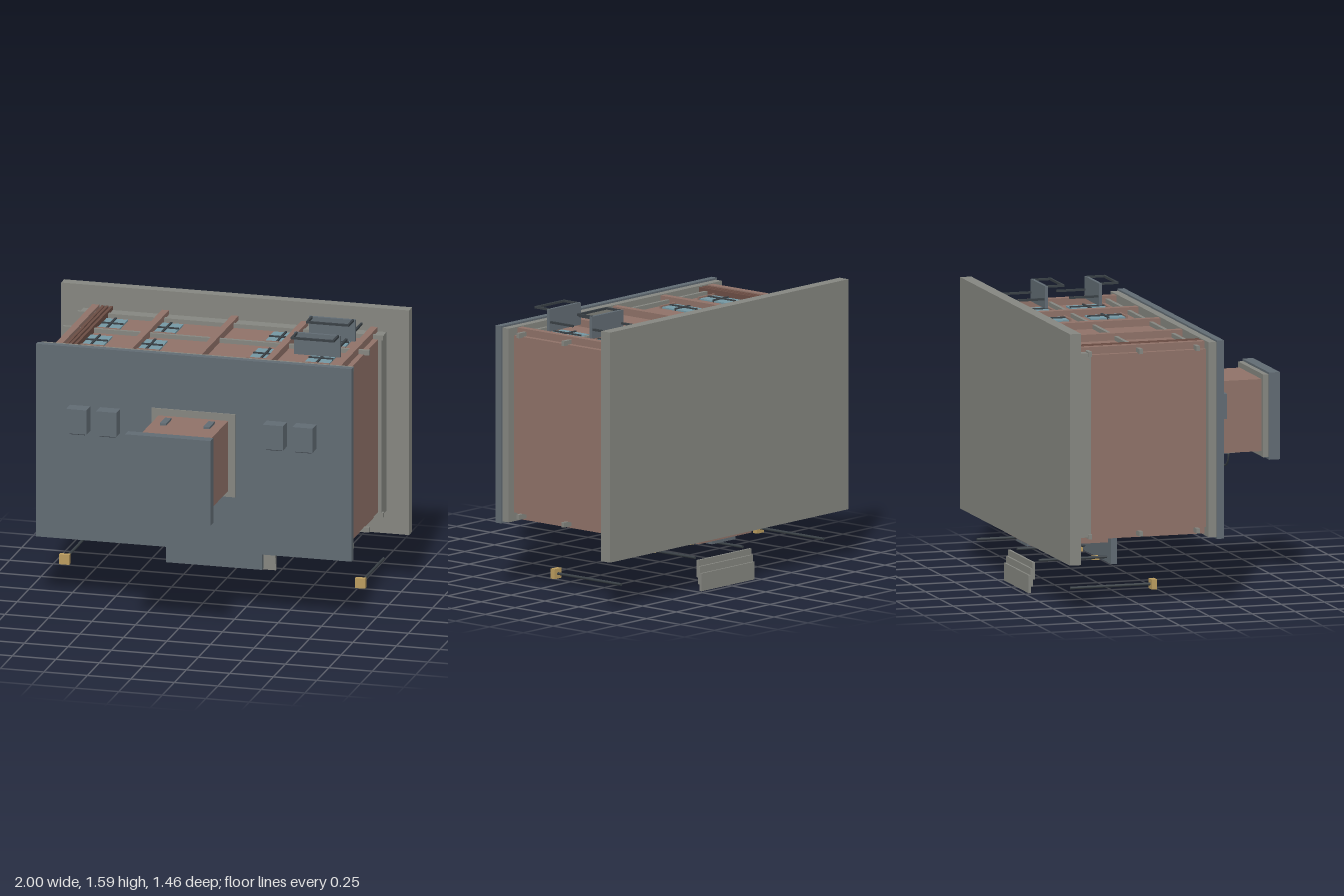
import * as THREE from 'three';

const mat = (name, color) => {
  const m = new THREE.MeshStandardMaterial({ color });
  m.name = name;
  return m;
};

export function createModel() {
  const brick = mat('brick', 0x8f7268);
  const stone = mat('stone', 0x858680);
  const slate = mat('slate', 0x616b73);
  const glass = mat('glass', 0x7497a3);
  const iron = mat('iron', 0x394045);
  const brass = mat('brass', 0xba9c5e);
  const pipeBrown = mat('pipe brown', 0x6b4d44);

  const model = new THREE.Group();
  model.name = 'townHall';

  // Box from its limits on each axis
  const box = (name, m, x0, x1, y0, y1, z0, z1, parent = model) => {
    const mesh = new THREE.Mesh(new THREE.BoxGeometry(x1 - x0, y1 - y0, z1 - z0), m);
    mesh.position.set((x0 + x1) / 2, (y0 + y1) / 2, (z0 + z1) / 2);
    mesh.name = name;
    parent.add(mesh);
    return mesh;
  };
  // Round bar running along z, the building's own upright axis
  const post = (name, m, x, y, z0, z1, r) => {
    const mesh = new THREE.Mesh(new THREE.CylinderGeometry(r, r, z1 - z0, 12), m);
    mesh.rotation.x = Math.PI / 2;
    mesh.position.set(x, y, (z0 + z1) / 2);
    mesh.name = name;
    model.add(mesh);
  };

  // The building lies on its back: its roof faces +z, its facade faces -y
  box('groundSlab', stone, -1, 1, 0.28, 1.58, -0.73, -0.665);
  box('plinth', stone, -0.87, 0.87, 0.41, 1.445, -0.665, -0.567);
  box('walls', brick, -0.85, 0.85, 0.43, 1.43, -0.567, 0.11);
  box('cornice', stone, -0.895, 0.895, 0.38, 1.475, 0.11, 0.155);
  box('roof', slate, -0.907, 0.907, 0.37, 1.485, 0.155, 0.195);

  // Pilasters and string courses on facade and rear
  for (const [y0, y1] of [[0.39, 0.44], [1.42, 1.47]]) {
    for (const x of [-0.8, -0.4, 0, 0.4, 0.8]) {
      box('pilaster', brick, x - 0.02, x + 0.02, y0, y1, -0.665, 0.11);
    }
  }
  for (const y of [0.415, 1.44]) {
    for (const z of [-0.573, -0.277, 0.055]) {
      box('stringCourse', stone, -0.88, 0.88, y - 0.014, y + 0.014, z - 0.01, z + 0.01);
    }
  }

  // Windows with crossed glazing bars and a lintel
  const addWindow = (x, z, wallY, out) => {
    const g = new THREE.Group();
    g.name = 'window';
    g.position.set(x, wallY, z);
    if (out < 0) g.rotation.z = Math.PI;
    box('pane', glass, -0.07, 0.07, 0, 0.008, -0.1, 0.1, g);
    box('uprightBar', iron, -0.006, 0.006, 0, 0.015, -0.1, 0.1, g);
    box('crossBar', iron, -0.07, 0.07, 0, 0.015, -0.006, 0.006, g);
    box('lintel', brick, -0.078, 0.078, 0, 0.016, 0.1, 0.111, g);
    model.add(g);
  };
  for (const x of [-0.648, -0.33, 0.33, 0.648]) {
    for (const z of [-0.433, -0.105]) {
      addWindow(x, z, 1.43, 1);
      addWindow(x, z, 0.43, -1);
    }
  }

  // Rear drainpipes
  for (const x of [-0.758, -0.736, -0.71]) {
    box('drainpipe', pipeBrown, x - 0.008, x + 0.008, 1.43, 1.468, -0.665, 0.11);
  }

  // Rear fire escape landings
  for (const z of [-0.072, -0.385]) {
    box('landing', slate, 0.505, 0.77, 1.465, 1.59, z - 0.009, z + 0.009);
    for (const x of [0.52, 0.757]) {
      box('railPost', iron, x - 0.006, x + 0.006, 1.58, 1.592, z, z + 0.108);
      box('strut', iron, x - 0.006, x + 0.006, 1.51, 1.522, z - 0.175, z);
    }
    box('handrail', iron, 0.514, 0.763, 1.58, 1.592, z + 0.096, z + 0.108);
  }

  // Tower with collar and cap
  box('towerCollar', stone, -0.24, 0.24, 0.69, 1.17, 0.195, 0.202);
  box('tower', brick, -0.2, 0.2, 0.725, 1.13, 0.195, 0.64);
  box('towerCornice', stone, -0.23, 0.23, 0.695, 1.16, 0.64, 0.67);
  box('towerCap', slate, -0.245, 0.245, 0.682, 1.172, 0.67, 0.732);
  for (const s of [-1, 1]) {
    const x = s * 0.125;
    box('towerSlit', slate, x - 0.018, x + 0.018, 1.13, 1.142, 0.272, 0.382);
    box('towerSlit', slate, x - 0.018, x + 0.018, 0.713, 0.725, 0.272, 0.382);
  }

  // Clock on the tower front, with its rim set crosswise
  const dial = new THREE.Mesh(new THREE.CylinderGeometry(0.09, 0.09, 0.02, 32), stone);
  dial.position.set(0, 0.713, 0.49);
  dial.name = 'clockDial';
  model.add(dial);
  const rim = new THREE.Mesh(new THREE.TorusGeometry(0.077, 0.005, 8, 40), iron);
  rim.position.set(0, 0.7, 0.487);
  rim.name = 'clockRim';
  model.add(rim);
  box('minuteHand', brass, -0.004, 0.004, 0.695, 0.703, 0.485, 0.55);
  box('hourHand', brass, 0, 0.045, 0.695, 0.703, 0.483, 0.491);

  // Dormers with louvres
  for (const x of [-0.652, -0.48, 0.478, 0.648]) {
    box('dormer', slate, x - 0.058, x + 0.058, 1.007, 1.148, 0.195, 0.277);
    for (const z of [0.208, 0.23, 0.252]) {
      box('louvre', iron, x - 0.045, x + 0.045, 0.997, 1.007, z - 0.004, z + 0.004);
    }
  }

  // Porch, door and canopy
  box('porch', brick, -0.22, 0.22, 0.262, 0.43, -0.7, -0.26);
  box('canopy', slate, -0.275, 0.275, 0.148, 0.39, -0.26, -0.226);
  for (const s of [-1, 1]) {
    box('doorLeaf', slate, s * 0.05 - 0.047, s * 0.05 + 0.047, 0.242, 0.262, -0.69, -0.39);
    post('porchColumn', iron, s * 0.2, 0.178, -0.655, -0.26, 0.008);
    box('porchLantern', brass, s * 0.15 - 0.015, s * 0.15 + 0.015, 0.156, 0.178, -0.33, -0.292);
  }
  box('fanlight', iron, -0.09, 0.09, 0.241, 0.262, -0.355, -0.305);

  // Entrance steps
  for (const [y0, y1, z] of [[0.075, 0.172, -0.685], [0.037, 0.138, -0.697], [0, 0.1, -0.708]]) {
    box('step', stone, -0.223, 0.223, y0, y1, z - 0.014, z);
  }

  // Street lamps
  for (const x of [-0.85, 0.85]) {
    post('lampPost', iron, x, 0.128, -0.68, -0.21, 0.008);
    box('lampHead', brass, x - 0.029, x + 0.029, 0.1, 0.156, -0.215, -0.185);
  }

  return model;
}
